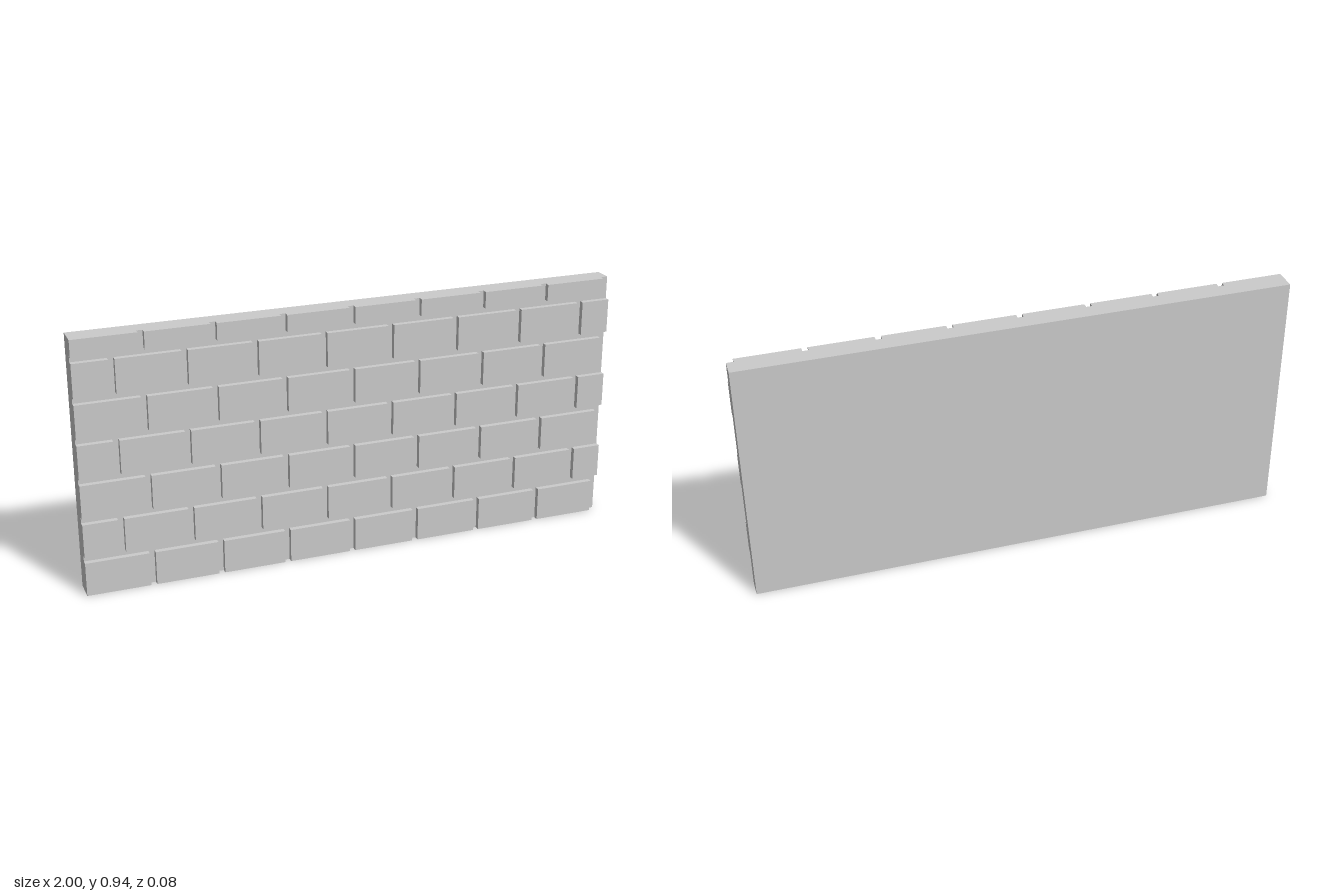
import * as THREE from 'three';

const HEIGHT = 0.938, BACK = -0.0415, SLAB_FRONT = 0.022, BRICK_FRONT = 0.0415;
const ROW_PITCH = 0.146, BRICK_HEIGHT = 0.125;
const BRICK_PITCH = 0.2495, BRICK_WIDTH = 0.228;

export function createModel() {
  const wall = new THREE.Group();
  wall.name = 'brickWall';
  const material = new THREE.MeshStandardMaterial({ color: 0xcccccc, flatShading: true });

  // Box given by its limits on each axis
  function addBox(parent, name, x0, x1, y0, y1, z0, z1) {
    const mesh = new THREE.Mesh(new THREE.BoxGeometry(x1 - x0, y1 - y0, z1 - z0), material);
    mesh.position.set((x0 + x1) / 2, (y0 + y1) / 2, (z0 + z1) / 2);
    mesh.name = name;
    parent.add(mesh);
  }

  // Mortar slab behind the bricks
  addBox(wall, 'mortarSlab', -1, 1, 0, HEIGHT, BACK, SLAB_FRONT);

  // Running bond: every second course is shifted, and cut at the wall's ends and top
  for (let row = 0; row < 7; row++) {
    const course = new THREE.Group();
    course.name = `brickCourse${row + 1}`;
    wall.add(course);
    const y0 = row * ROW_PITCH;
    const y1 = Math.min(y0 + BRICK_HEIGHT, HEIGHT);
    const start = row % 2 ? -0.854 - BRICK_PITCH : -1;
    for (let x = start; x < 0.99; x += BRICK_PITCH) {
      addBox(course, 'brick', Math.max(x, -1), Math.min(x + BRICK_WIDTH, 1), y0, y1, SLAB_FRONT, BRICK_FRONT);
    }
  }
  return wall;
}
